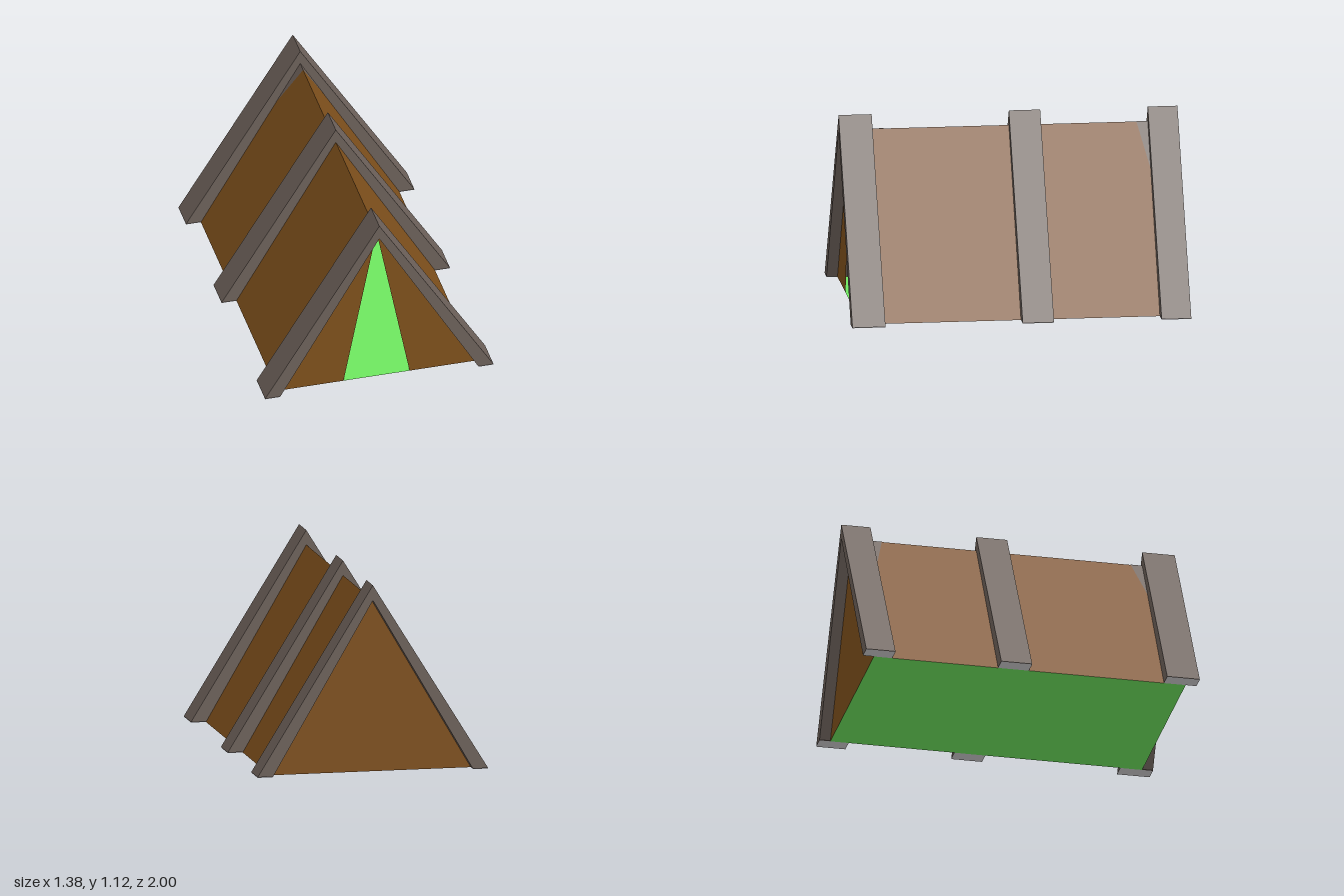
import * as THREE from 'three';

const canvas = new THREE.MeshStandardMaterial({ color: 0x80511c, side: THREE.DoubleSide });
canvas.name = 'brown canvas';
const timber = new THREE.MeshStandardMaterial({ color: 0x6e625b, side: THREE.DoubleSide });
timber.name = 'grey timber';
const grass = new THREE.MeshStandardMaterial({ color: 0x6fe860, side: THREE.DoubleSide });
grass.name = 'green groundsheet';
const pale = new THREE.MeshStandardMaterial({ color: 0xd0cdcf, side: THREE.DoubleSide });
pale.name = 'pale foot';

const HALF = 0.602;  // half width of the tent at the ground
const RIDGE = 1.032; // height of the ridge
const END = 0.935;   // distance of the end walls from the centre
const INNER = 0.6;   // inner and outer half widths of the frames
const OUTER = 0.692;

export function createModel() {
  const tent = new THREE.Group();
  tent.name = 'tent';

  // A flat polygon given by its corners, counter-clockwise from its front
  function panel(name, corners, material) {
    const geometry = new THREE.BufferGeometry();
    geometry.setAttribute('position', new THREE.Float32BufferAttribute(corners.flat(), 3));
    geometry.setIndex(corners.length === 4 ? [0, 1, 2, 0, 2, 3] : [0, 1, 2]);
    geometry.computeVertexNormals();
    const mesh = new THREE.Mesh(geometry, material);
    mesh.name = name;
    tent.add(mesh);
  }

  // Inverted V frames wrapped around the canvas, with pale undersides
  function frame(name, z0, z1) {
    const shape = new THREE.Shape([
      [-OUTER, 0.003], [-INNER, 0.003], [0, 1.03], [INNER, 0.003], [OUTER, 0.003], [0, 1.12],
    ].map(([x, y]) => new THREE.Vector2(x, y)));
    const geometry = new THREE.ExtrudeGeometry(shape, { depth: z1 - z0, bevelEnabled: false });
    const mesh = new THREE.Mesh(geometry, timber);
    mesh.name = name;
    mesh.position.z = z0;
    tent.add(mesh);
    for (const [a, b] of [[HALF, OUTER], [-OUTER, -HALF]]) {
      panel(name + 'Foot', [[a, 0, z0], [b, 0, z0], [b, 0, z1], [a, 0, z1]], pale);
    }
  }
  frame('frontFrame', 0.805, 1);
  frame('middleFrame', -0.19, -0.005);
  frame('backFrame', -1, -0.825);

  // Sloping canvas sides
  panel('leftRoof', [[HALF, 0, END], [HALF, 0, -END], [0, RIDGE, -END], [0, RIDGE, END]], canvas);
  panel('rightRoof', [[-HALF, 0, -END], [-HALF, 0, END], [0, RIDGE, END], [0, RIDGE, -END]], canvas);

  // Front flaps either side of the open doorway, and the closed back
  panel('leftFlap', [[0.2, 0, END], [HALF, 0, END], [0, RIDGE, END]], canvas);
  panel('rightFlap', [[-HALF, 0, END], [-0.2, 0, END], [0, RIDGE, END]], canvas);
  panel('backWall', [[HALF, 0, -END], [-HALF, 0, -END], [0, RIDGE, -END]], canvas);

  // Groundsheet
  panel('floor', [[-HALF, 0, END], [HALF, 0, END], [HALF, 0, -END], [-HALF, 0, -END]], grass);

  // Small timber slivers showing at the ridge beside the end frames
  const top = RIDGE + 0.002, low = 0.76;
  panel('backLeftSliver', [[0, top, -0.757], [0.16, low, -0.83], [0, top, -0.83]], timber);
  panel('backRightSliver', [[0, top, -0.757], [0, top, -0.83], [-0.16, low, -0.83]], timber);
  panel('frontRightSliver', [[0, top, 0.735], [-0.16, low, 0.81], [0, top, 0.81]], timber);

  return tent;
}
